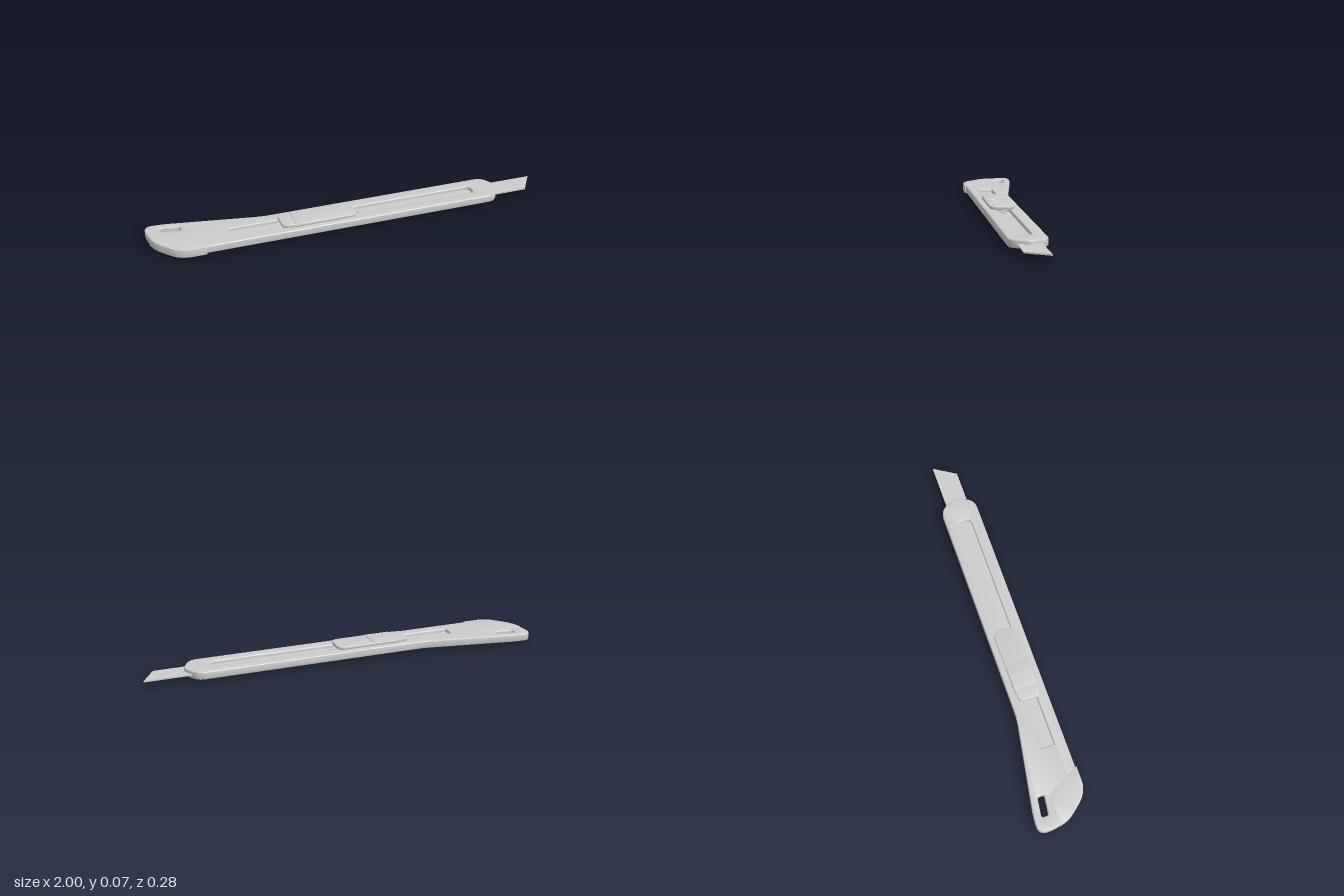
import * as THREE from 'three';
import { toCreasedNormals } from 'three/addons/utils/BufferGeometryUtils.js';
import { ConvexGeometry } from 'three/addons/geometries/ConvexGeometry.js';

const material = new THREE.MeshStandardMaterial({ color: 0xcccccc });

// Outline from [x, z, cornerRadius] points; corners are rounded with quadratic curves.
function outline(points, target = new THREE.Shape()) {
  const n = points.length;
  points.forEach(([x, z, r = 0], i) => {
    const corner = new THREE.Vector2(x, -z);
    const toward = ([px, pz]) => {
      const d = new THREE.Vector2(px, -pz).sub(corner);
      return corner.clone().add(d.setLength(Math.min(r, d.length() / 2)));
    };
    const a = toward(points[(i + n - 1) % n]);
    const b = toward(points[(i + 1) % n]);
    if (i === 0) target.moveTo(a.x, a.y);
    else target.lineTo(a.x, a.y);
    if (r > 0) target.quadraticCurveTo(corner.x, corner.y, b.x, b.y);
  });
  target.closePath();
  return target;
}

// Flat plate between two heights, with an optional rounded rim.
function plate(name, shape, y0, y1, bevel = 0) {
  const geo = new THREE.ExtrudeGeometry(shape, {
    depth: y1 - y0 - 2 * bevel, curveSegments: 8,
    bevelEnabled: bevel > 0, bevelThickness: bevel, bevelSize: bevel, bevelOffset: -bevel, bevelSegments: 3,
  });
  geo.rotateX(-Math.PI / 2).translate(0, y0 + bevel, 0);
  const mesh = new THREE.Mesh(toCreasedNormals(geo, 0.6), material);
  mesh.name = name;
  return mesh;
}

export function createModel() {
  const group = new THREE.Group();
  group.name = 'utilityKnife';

  // Handle: flared tail, tapered nose, lanyard hole and slider track
  const handle = outline([
    [-1, -0.145, 0.07], [-0.915, -0.143, 0.05], [-0.43, -0.055, 0.04], [0.745, -0.055, 0.04],
    [0.795, 0.037, 0.025], [0.745, 0.129, 0.04], [-0.87, 0.129, 0.06], [-0.975, 0.02, 0.06], [-1, -0.06, 0.04],
  ]);
  handle.holes.push(
    outline([[-0.93, -0.107, 0.012], [-0.93, -0.071, 0.012], [-0.83, -0.058, 0.012], [-0.83, -0.092, 0.012]], new THREE.Path()),
    outline([[-0.615, 0.005], [-0.615, 0.073], [0.652, 0.073, 0.025], [0.652, 0.005, 0.025]], new THREE.Path()),
  );
  group.add(plate('handle', handle, 0.011, 0.05, 0.005));

  // Faceted underside of the handle
  const belly = [];
  const ring = (y, x0, x1, z0, z1) => [x0, x1].forEach((x) => [z0, z1].forEach((z) => belly.push(new THREE.Vector3(x, y, z))));
  ring(0, -0.42, 0.66, 0, 0.08);
  ring(0.0115, -0.74, 0.735, -0.005, 0.122);
  ring(0.0115, -0.45, 0.735, -0.048, 0.122);
  ring(0.0115, 0.77, 0.78, 0.02, 0.055);
  ring(0.02, -0.7, 0.72, 0, 0.08);
  const underside = new THREE.Mesh(new ConvexGeometry(belly), material);
  underside.name = 'underside';
  group.add(underside);

  // Tail cap, slightly proud of the handle
  group.add(plate('tailCap', outline([
    [-0.84, -0.036], [-0.994, -0.036], [-0.977, 0.022, 0.05], [-0.88, 0.135, 0.06], [-0.75, 0.135],
  ]), 0.008, 0.051, 0.003));

  // Blade strip, also the floor of the slider track
  group.add(plate('blade', outline([[-0.64, -0.018], [-0.64, 0.093], [0.93, 0.093], [1, -0.018]]), 0.026, 0.033));

  // Thumb slider with raised grip and the carrier beneath it
  group.add(plate('slider', outline([
    [-0.365, -0.014, 0.02], [-0.29, -0.024, 0.03], [0.017, -0.024, 0.04],
    [0.017, 0.102, 0.04], [-0.29, 0.102, 0.03], [-0.365, 0.092, 0.02],
  ]), 0.05, 0.065, 0.003));
  group.add(plate('sliderGrip', outline([
    [-0.3, -0.019], [-0.17, -0.021], [-0.17, 0.099], [-0.3, 0.097],
  ]), 0.06, 0.068, 0.002));
  group.add(plate('sliderCarrier', outline([[-0.34, 0.008], [0.0, 0.008], [0.0, 0.07], [-0.34, 0.07]]), 0.03, 0.055));
  group.add(plate('sliderPin', outline([[0.0, 0.029], [0.045, 0.029], [0.045, 0.043], [0.0, 0.043]]), 0.03, 0.04));

  return group;
}
